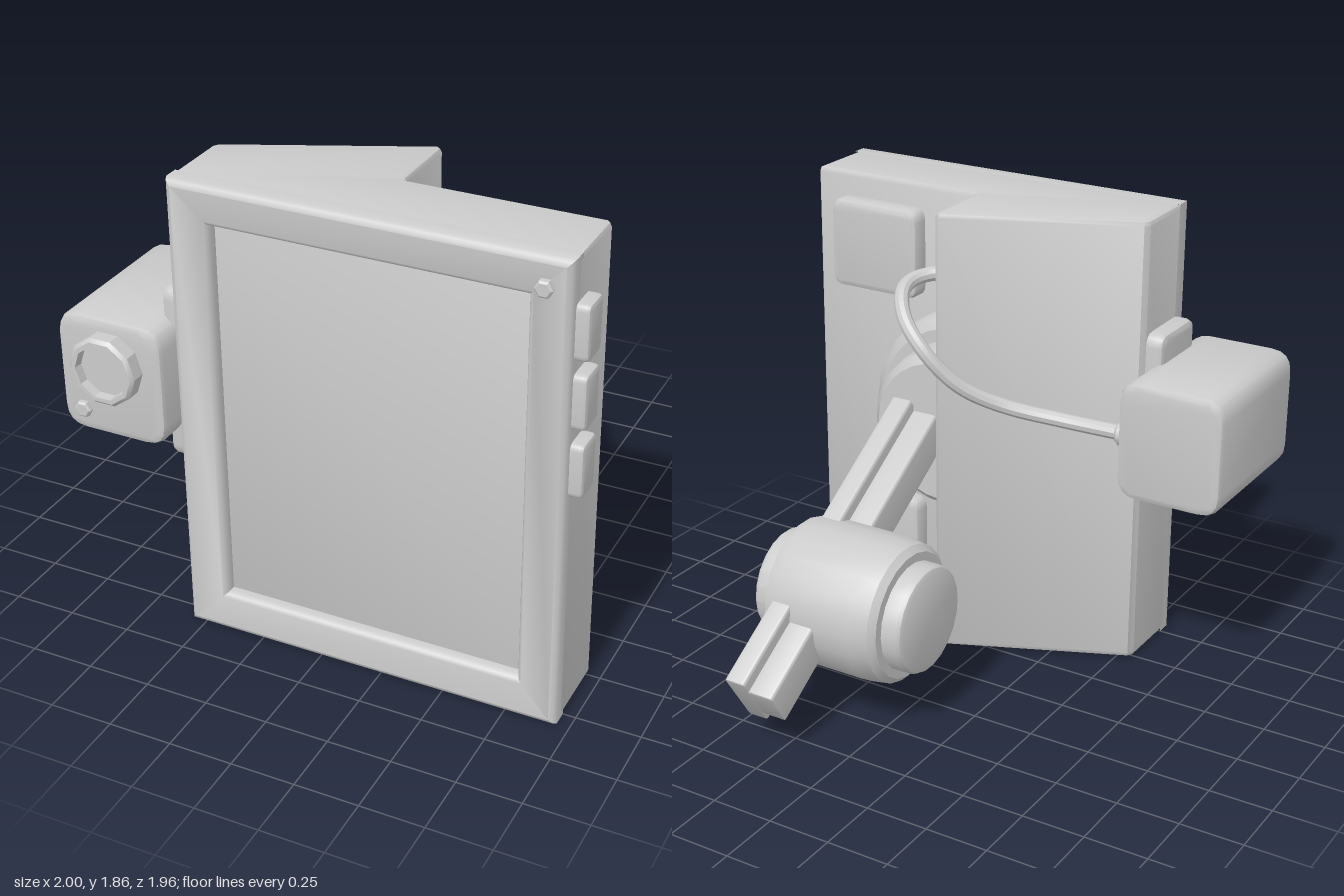
import * as THREE from 'three';
import { toCreasedNormals } from 'three/addons/utils/BufferGeometryUtils.js';

const material = new THREE.MeshStandardMaterial({ color: 0xcccccc });

export function createModel() {
  const model = new THREE.Group();

  function add(name, geometry, x = 0, y = 0, z = 0, parent = model) {
    const mesh = new THREE.Mesh(toCreasedNormals(geometry, 0.6), material);
    mesh.name = name;
    mesh.position.set(x, y, z);
    parent.add(mesh);
    return mesh;
  }

  // Rounded rectangle w x h, thickness d along z, with softened rims
  function slab(w, h, d, r, bevel) {
    const s = new THREE.Shape();
    const a = w / 2, b = h / 2;
    s.moveTo(-a + r, -b);
    s.lineTo(a - r, -b).quadraticCurveTo(a, -b, a, -b + r);
    s.lineTo(a, b - r).quadraticCurveTo(a, b, a - r, b);
    s.lineTo(-a + r, b).quadraticCurveTo(-a, b, -a, b - r);
    s.lineTo(-a, -b + r).quadraticCurveTo(-a, -b, -a + r, -b);
    const g = new THREE.ExtrudeGeometry(s, {
      depth: d - 2 * bevel, curveSegments: 4,
      bevelSize: bevel, bevelThickness: bevel, bevelOffset: -bevel, bevelSegments: 2,
    });
    return g.translate(0, 0, -d / 2 + bevel);
  }

  // Turned part from [radius, height] pairs
  function turned(pairs, sides, start = 0, length = Math.PI * 2) {
    return new THREE.LatheGeometry(pairs.map(p => new THREE.Vector2(...p)), sides, start, length);
  }

  // Housing: plan outline with a wedge at the back, extruded upwards
  const plan = [[-0.56, 0.77], [0.95, 0.77], [0.95, 0.495], [0.935, 0.478], [0.2, 0.478],
    [0.19, 0.465], [0.19, 0.175], [0.17, 0.16], [-0.545, 0.475], [-0.56, 0.5]];
  const outline = new THREE.Shape(plan.map(([x, z]) => new THREE.Vector2(x, -z)));
  const housing = new THREE.ExtrudeGeometry(outline, {
    depth: 1.82, bevelSize: 0.02, bevelThickness: 0.02, bevelOffset: -0.02, bevelSegments: 2,
  });
  add('housing', housing.rotateX(-Math.PI / 2), 0, 0.02, 0);

  // Bezel: rectangular rings stepping inwards around the screen, [inset, z]
  const rings = [[0, 0.75], [0, 0.81], [0.008, 0.825], [0.025, 0.834], [0.14, 0.82],
    [0.152, 0.812], [0.16, 0.795], [0.16, 0.765]];
  const corners = [], faces = [];
  rings.forEach(([i, z], n) => {
    corners.push(-0.56 + i, i, z, 0.95 - i, i, z, 0.95 - i, 1.86 - i, z, -0.56 + i, 1.86 - i, z);
    if (n === 0) return;
    for (let k = 0; k < 4; k++) {
      const a = (n - 1) * 4 + k, b = (n - 1) * 4 + (k + 1) % 4;
      faces.push(a, b, b + 4, a, b + 4, a + 4);
    }
  });
  const bezel = new THREE.BufferGeometry();
  bezel.setAttribute('position', new THREE.Float32BufferAttribute(corners, 3));
  bezel.setIndex(faces);
  add('bezel', bezel);

  // Side buttons
  for (const y of [1.59, 1.33, 1.065]) {
    add('sideButton', slab(0.125, 0.21, 0.08, 0.025, 0.015).rotateY(Math.PI / 2), 0.96, y, 0.737);
  }

  // Back pads
  for (const y of [1.575, 0.31]) {
    add('backPad', slab(0.41, 0.37, 0.12, 0.05, 0.025), 0.635, y, 0.465);
  }

  // Small hexagonal lamps on the bezel and the camera
  const lamp = () => turned([[0.034, -0.04], [0.034, 0.018], [0.026, 0.025], [0, 0.025]], 6, Math.PI / 6)
    .rotateX(Math.PI / 2).rotateZ(Math.PI / 6 * 2);
  add('bezelLamp', lamp(), 0.855, 1.75, 0.83);
  add('cameraLamp', lamp(), -0.905, 0.91, 0.918);

  // Side camera with bracket and lens barrel
  add('cameraBracket', slab(0.29, 0.7, 0.12, 0.05, 0.025).rotateY(Math.PI / 2), -0.57, 1.055, 0.645);
  add('cameraBody', slab(0.435, 0.48, 0.655, 0.09, 0.025), -0.782, 1.055, 0.592);
  const lens = turned([[0.138, 0.88], [0.138, 0.972], [0.125, 0.985], [0.108, 0.985], [0.104, 0.95], [0, 0.95]],
    10, Math.PI / 10);
  add('cameraLens', lens.rotateX(Math.PI / 2), -0.78, 1.115, 0);

  // Stepped half-round mount set against the wedge wall
  const mount = [[0.44, -0.49], [0.44, -0.43], [0.425, -0.395], [0.385, -0.365], [0.335, -0.365],
    [0.333, -0.28], [0.32, -0.225], [0.29, -0.195], [0, -0.195]];
  add('armMount', turned(mount, 14, 0, Math.PI).rotateX(-Math.PI / 2), 0.188, 0.94, 0);

  // Sloping arm made of a tall rail and a lower rail
  const arm = new THREE.Group();
  arm.name = 'arm';
  arm.position.set(0, 0.583, -0.3275);
  arm.rotation.x = -Math.atan(0.638);
  model.add(arm);
  add('tallRail', slab(0.09, 0.26, 1.37, 0.015, 0.006), 0.355, 0, 0, arm);
  add('lowRail', slab(0.115, 0.16, 1.37, 0.015, 0.006), 0.2625, 0, 0, arm);

  // Drum joint lying across the arm
  const drum = [[0, -0.14], [0.19, -0.14], [0.207, -0.132], [0.215, -0.115], [0.215, -0.055], [0.25, -0.055],
    [0.275, -0.03], [0.287, 0.05], [0.287, 0.4], [0.275, 0.435], [0.25, 0.45], [0.215, 0.45],
    [0.215, 0.515], [0.207, 0.528], [0.19, 0.535], [0, 0.535]];
  add('drumJoint', turned(drum, 22).rotateZ(-Math.PI / 2), 0, 0.455, -0.393);

  // Cable from the wedge wall round to the camera, with a plug at each end
  const path = [[0.19, 1.55, 0.35], [0.28, 1.552, 0.345], [0.345, 1.54, 0.26], [0.34, 1.515, 0.17],
    [0.28, 1.44, 0.09], [0.18, 1.34, 0.06], [0.09, 1.23, 0.1], [0.02, 1.165, 0.15],
    [-0.1, 1.1, 0.235], [-0.3, 1.06, 0.315], [-0.57, 1.05, 0.345]];
  const curve = new THREE.CatmullRomCurve3(path.map(p => new THREE.Vector3(...p)));
  add('cable', new THREE.TubeGeometry(curve, 48, 0.03, 10));
  const plug = () => turned([[0.05, -0.04], [0.05, 0.025], [0.042, 0.035], [0, 0.035]], 12).rotateZ(-Math.PI / 2);
  add('wallPlug', plug(), 0.19, 1.55, 0.35);
  add('cameraPlug', plug(), -0.568, 1.05, 0.345);

  return model;
}
